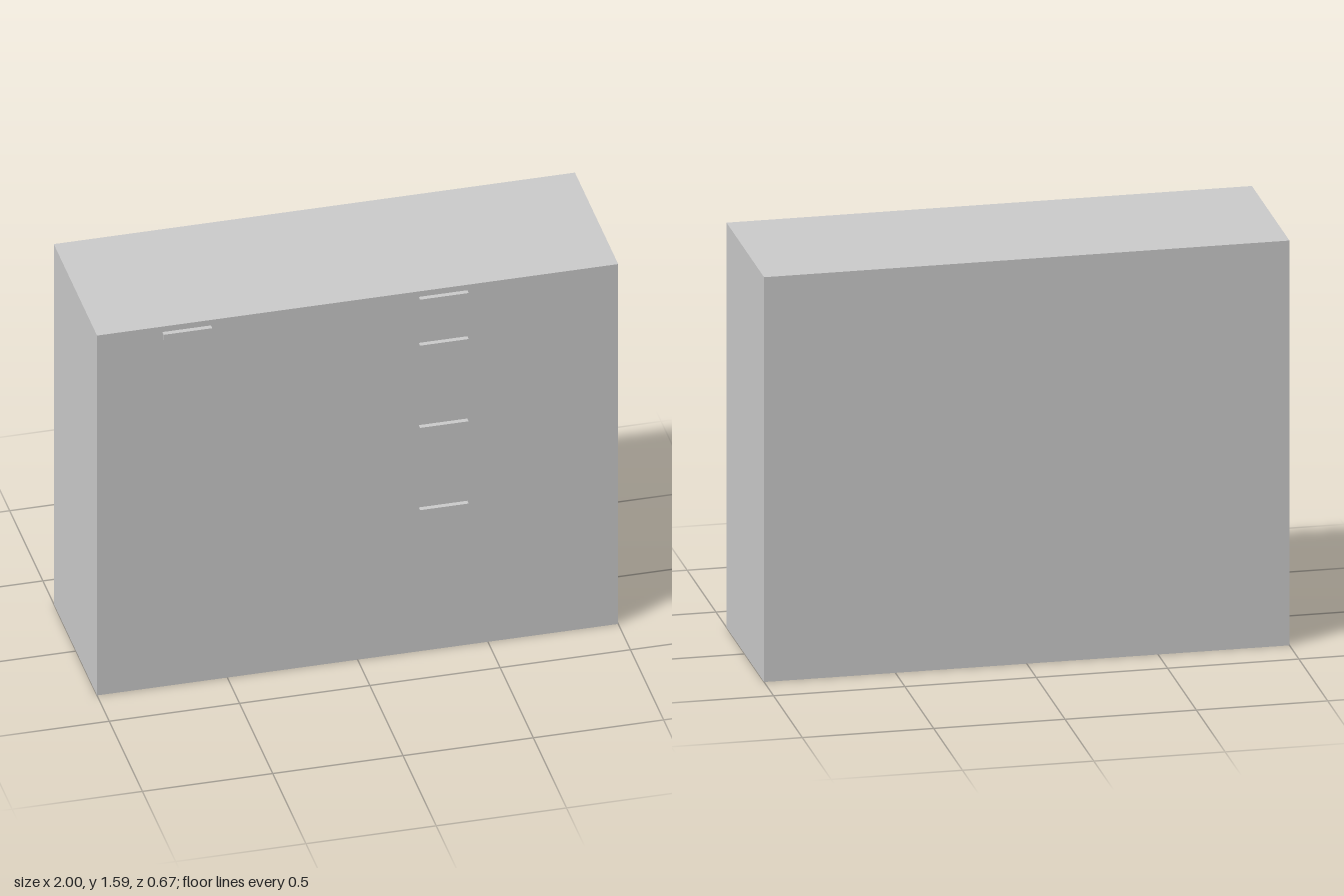
import * as THREE from 'three';

const FRONT = 0.316, BACK = -0.336, HEIGHT = 1.588;

export function createModel() {
  const group = new THREE.Group();
  const material = new THREE.MeshStandardMaterial({ color: 0xcccccc, flatShading: true });

  // Plain cabinet body
  const depth = FRONT - BACK;
  const body = new THREE.Mesh(new THREE.BoxGeometry(2, HEIGHT, depth), material);
  body.name = 'cabinetBody';
  body.position.set(0, HEIGHT / 2, (FRONT + BACK) / 2);
  group.add(body);

  // Thin L-shaped pull: a plate reaching forward with a lip turned down
  const width = 0.186, reach = 0.02, lip = 0.022, t = 0.003;
  const profile = new THREE.Shape([
    [0, 0], [0, -t], [reach - t, -t], [reach - t, -lip], [reach, -lip], [reach, 0],
  ].map(([z, y]) => new THREE.Vector2(z, y)));
  const pull = new THREE.ExtrudeGeometry(profile, { depth: width, bevelEnabled: false });
  pull.translate(0, 0, -width / 2).rotateY(-Math.PI / 2);

  // One pull on the right door, a column of four on the left side
  const pulls = [[-0.656, 1.564], [0.328, 1.564], [0.328, 1.361], [0.328, 0.998], [0.328, 0.635]];
  pulls.forEach(([x, y], i) => {
    const handle = new THREE.Mesh(pull, material);
    handle.name = `handle${i + 1}`;
    handle.position.set(x, y, FRONT);
    group.add(handle);
  });

  return group;
}
